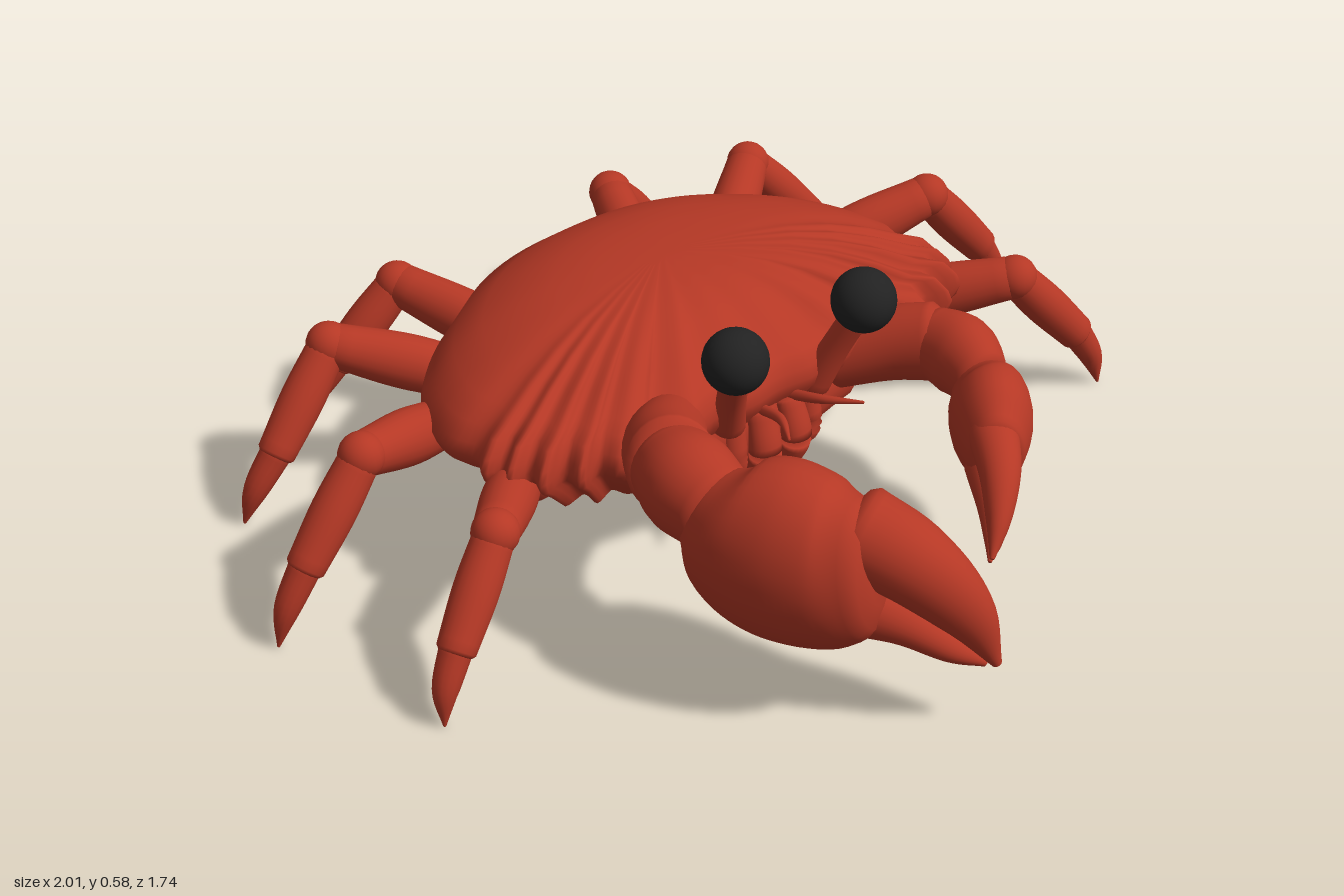
import * as THREE from 'three';

const red = new THREE.MeshStandardMaterial({ color: 0xb53825 });
red.name = 'shell red';
const black = new THREE.MeshStandardMaterial({ color: 0x222222 });
black.name = 'eye black';

// Closed skin over rings of points, each running counter-clockwise about the direction of travel
function skin(rings) {
  const n = rings[0].length, pos = [], idx = [];
  for (const ring of rings) for (const p of ring) pos.push(p.x, p.y, p.z);
  for (let i = 0; i < rings.length - 1; i++) {
    for (let j = 0; j < n; j++) {
      const k = (j + 1) % n, a = i * n, b = a + n;
      idx.push(a + j, a + k, b + k, a + j, b + k, b + j);
    }
  }
  const cap = (ring, start, flip) => {
    const c = new THREE.Vector3();
    ring.forEach(p => c.addScaledVector(p, 1 / n));
    const m = pos.length / 3;
    pos.push(c.x, c.y, c.z);
    for (let j = 0; j < n; j++) {
      const k = (j + 1) % n;
      idx.push(m, start + (flip ? k : j), start + (flip ? j : k));
    }
  };
  cap(rings[0], 0, true);
  cap(rings[rings.length - 1], (rings.length - 1) * n, false);
  const g = new THREE.BufferGeometry();
  g.setAttribute('position', new THREE.Float32BufferAttribute(pos, 3));
  g.setIndex(idx);
  g.computeVertexNormals();
  return g;
}

// Rounded limb along stations [x, y, z, half width, half height]
function limb(stations, sides = 20) {
  const path = new THREE.CatmullRomCurve3(stations.map(s => new THREE.Vector3(s[0], s[1], s[2])), false, 'catmullrom');
  const size = new THREE.CatmullRomCurve3(stations.map(s => new THREE.Vector3(s[3], s[4] ?? s[3], 0)), false, 'catmullrom');
  const steps = (stations.length - 1) * 6, rings = [];
  const add = (t, shrink, shift) => {
    const dir = path.getTangent(t), r = size.getPoint(t);
    const c = path.getPoint(t).addScaledVector(dir, shift * Math.min(r.x, r.y));
    const side = new THREE.Vector3(0, 1, 0).cross(dir).normalize();
    const up = dir.clone().cross(side);
    rings.push(Array.from({ length: sides }, (_, j) => {
      const a = j / sides * Math.PI * 2;
      return c.clone().addScaledVector(side, Math.cos(a) * r.x * shrink).addScaledVector(up, Math.sin(a) * r.y * shrink);
    }));
  };
  add(0, 0.5, -0.3);
  add(0, 0.85, -0.18);
  for (let i = 0; i <= steps; i++) add(i / steps, 1, 0);
  add(1, 0.85, 0.18);
  add(1, 0.5, 0.3);
  return skin(rings);
}

function createModel() {
  const crab = new THREE.Group();
  crab.name = 'crab';
  const put = (name, geometry, material = red, parent = crab) => {
    const m = new THREE.Mesh(geometry, material);
    m.name = name;
    parent.add(m);
    return m;
  };
  const group = name => {
    const g = new THREE.Group();
    g.name = name;
    crab.add(g);
    return g;
  };

  // Carapace: toothed outline scaled through a domed profile
  const half = [[0.08, 0.125], [0.17, 0.11], [0.25, 0.135], [0.31, 0.09], [0.37, 0.12], [0.42, 0.12], [0.44, 0.08],
    [0.5, 0.10], [0.5, 0.05], [0.565, 0.06], [0.55, 0.005], [0.6, 0.0], [0.575, -0.045], [0.615, -0.06], [0.59, -0.11],
    [0.605, -0.18], [0.59, -0.26], [0.53, -0.38], [0.44, -0.475], [0.32, -0.56], [0.17, -0.615]];
  const outline = new THREE.CatmullRomCurve3([
    [0, 0.115], ...half, [0, -0.63], ...half.slice().reverse().map(([x, z]) => [-x, z])
  ].map(([x, z]) => new THREE.Vector3(x, 0, z)), true);
  const rim = outline.getPoints(176).slice(0, 176);
  const profile = [[0.1, 0.16], [0.4, 0.165], [0.65, 0.185], [0.83, 0.22], [0.93, 0.26], [0.985, 0.29], [1, 0.315], [0.985, 0.34],
    [0.94, 0.372], [0.86, 0.408], [0.74, 0.443], [0.6, 0.473], [0.45, 0.493], [0.28, 0.503], [0.1, 0.506]];
  put('carapace', skin(profile.map(([s, y]) => rim.map(p => {
    const lift = s > 0.9 ? 0.03 * (p.z + 0.25) / 0.38 : 0;
    return new THREE.Vector3(p.x * s, y + lift, -0.25 + (p.z + 0.25) * s);
  }))));

  // Tail flap under the body, pointed towards the front
  const flap = new THREE.Shape();
  flap.moveTo(0, -0.17);
  flap.quadraticCurveTo(0.03, -0.18, 0.06, -0.25);
  flap.lineTo(0.13, -0.42);
  flap.quadraticCurveTo(0.13, -0.5, 0, -0.53);
  flap.quadraticCurveTo(-0.13, -0.5, -0.13, -0.42);
  flap.lineTo(-0.06, -0.25);
  flap.quadraticCurveTo(-0.03, -0.18, 0, -0.17);
  const flapGeo = new THREE.ExtrudeGeometry(flap, { depth: 0.02, bevelSize: 0.012, bevelThickness: 0.01, bevelSegments: 3, curveSegments: 8 });
  flapGeo.rotateX(Math.PI / 2);
  put('tailFlap', flapGeo).position.y = 0.17;

  // Lower face
  put('face', limb([[-0.24, 0.25, 0.02, 0.06, 0.07], [0, 0.25, 0.03, 0.08, 0.1], [0.24, 0.25, 0.02, 0.06, 0.07]]));

  // Legs: tucked base, knee, ankle, tip
  const legs = [
    [[0.45, 0.23, -0.15], [0.7, 0.315, 0.09], [0.845, 0.14, 0.145], [0.9, 0, 0.17]],
    [[0.46, 0.24, -0.36], [0.765, 0.345, -0.25], [0.925, 0.16, -0.235], [1, 0, -0.24]],
    [[0.3, 0.22, -0.44], [0.575, 0.335, -0.635], [0.74, 0.15, -0.61], [0.82, 0, -0.63]],
    [[0.15, 0.21, -0.45], [0.295, 0.3, -0.785], [0.44, 0.14, -0.825], [0.515, 0, -0.865]]
  ];
  for (const side of [1, -1]) {
    const label = side > 0 ? 'left' : 'right';
    legs.forEach((points, i) => {
      const leg = group(`${label}Leg${i + 1}`);
      const [base, knee, ankle, tip] = points.map(([x, y, z]) => new THREE.Vector3(x * side, y, z));
      const at = (a, b, t, r, r2 = r) => [...a.clone().lerp(b, t).toArray(), r, r2];
      put('thigh', limb([at(base, knee, 0, 0.045), at(base, knee, 0.5, 0.055, 0.06), at(base, knee, 0.96, 0.047)]), red, leg);
      put('knee', new THREE.SphereGeometry(0.048, 20, 14), red, leg).position.copy(knee);
      put('shin', limb([at(knee, ankle, 0.05, 0.042), at(knee, ankle, 0.5, 0.046), at(knee, ankle, 1, 0.04)]), red, leg);
      const bend = at(ankle, tip, 0.5, 0.026);
      bend[0] += side * 0.012;
      put('foot', limb([at(ankle, tip, -0.05, 0.034), bend, at(ankle, tip, 1, 0.003)], 14), red, leg);
    });

    // Eye on a stalk, feeler and mouth plates
    put(`${label}EyeStalk`, limb([[0.115 * side, 0.3, 0.09, 0.035], [0.14 * side, 0.4, 0.13, 0.03], [0.165 * side, 0.49, 0.17, 0.03]]));
    put(`${label}Eye`, new THREE.SphereGeometry(0.067, 32, 20), black).position.set(0.17 * side, 0.515, 0.175);
    put(`${label}Feeler`, limb([[0.04 * side, 0.31, 0.1, 0.012], [0.055 * side, 0.33, 0.18, 0.01], [0.1 * side, 0.34, 0.255, 0.003]], 10));
    put(`${label}MouthPlate`, limb([[0.038 * side, 0.3, 0.1, 0.032, 0.025], [0.042 * side, 0.22, 0.12, 0.036, 0.03],
      [0.038 * side, 0.165, 0.1, 0.03, 0.03]]));
    put(`${label}Cheek`, limb([[0.1 * side, 0.28, 0.08, 0.03], [0.1 * side, 0.2, 0.09, 0.028], [0.08 * side, 0.165, 0.06, 0.02]]));
  }

  // Claws: the right one is much bigger
  const claws = {
    rightClaw: {
      arm: [[-0.22, 0.31, 0.04, 0.07, 0.08], [-0.32, 0.365, 0.14, 0.085, 0.09], [-0.38, 0.395, 0.23, 0.09, 0.1]],
      wrist: [[-0.375, 0.395, 0.22, 0.085, 0.085], [-0.395, 0.395, 0.3, 0.098, 0.105], [-0.4, 0.385, 0.39, 0.085, 0.09]],
      palm: [[-0.4, 0.375, 0.37, 0.09, 0.1], [-0.385, 0.355, 0.43, 0.125, 0.165], [-0.35, 0.34, 0.51, 0.14, 0.19],
        [-0.31, 0.335, 0.6, 0.13, 0.178], [-0.28, 0.345, 0.67, 0.1, 0.14]],
      upperFinger: [[-0.27, 0.41, 0.63, 0.09, 0.09], [-0.22, 0.365, 0.73, 0.078, 0.082], [-0.16, 0.27, 0.81, 0.05, 0.058], [-0.12, 0.155, 0.86, 0.01]],
      lowerFinger: [[-0.275, 0.26, 0.6, 0.09, 0.09], [-0.22, 0.225, 0.71, 0.055, 0.05], [-0.17, 0.18, 0.79, 0.035, 0.03], [-0.13, 0.15, 0.84, 0.008]]
    },
    leftClaw: {
      arm: [[0.2, 0.3, 0.04, 0.06, 0.07], [0.29, 0.34, 0.13, 0.07, 0.08], [0.345, 0.36, 0.21, 0.07, 0.085]],
      wrist: [[0.34, 0.36, 0.2, 0.065, 0.075], [0.35, 0.355, 0.28, 0.075, 0.09], [0.335, 0.34, 0.35, 0.06, 0.07]],
      palm: [[0.335, 0.33, 0.34, 0.055, 0.065], [0.315, 0.315, 0.39, 0.08, 0.11], [0.27, 0.3, 0.45, 0.082, 0.122], [0.22, 0.29, 0.51, 0.058, 0.09]],
      upperFinger: [[0.23, 0.33, 0.49, 0.052, 0.05], [0.17, 0.305, 0.57, 0.042, 0.042], [0.115, 0.25, 0.625, 0.026, 0.03], [0.065, 0.195, 0.66, 0.005]],
      lowerFinger: [[0.225, 0.25, 0.49, 0.05, 0.05], [0.17, 0.215, 0.56, 0.034, 0.033], [0.115, 0.195, 0.615, 0.02, 0.02], [0.07, 0.18, 0.65, 0.004]]
    }
  };
  for (const [name, parts] of Object.entries(claws)) {
    const claw = group(name);
    for (const [part, stations] of Object.entries(parts)) put(part, limb(stations, 28), red, claw);
    // Blunt teeth along the lower finger
    const [, a, b] = parts.lowerFinger;
    for (let i = 0; i < 4; i++) {
      const t = i / 3, r = a[4] * (0.32 - 0.12 * t);
      put('tooth', new THREE.SphereGeometry(r, 10, 8), red, claw).position.set(
        a[0] + (b[0] - a[0]) * t, a[1] + a[4] * 0.9 + (b[1] + b[4] * 0.9 - a[1] - a[4] * 0.9) * t, a[2] + (b[2] - a[2]) * t);
    }
  }
  return crab;
}

export { createModel };
